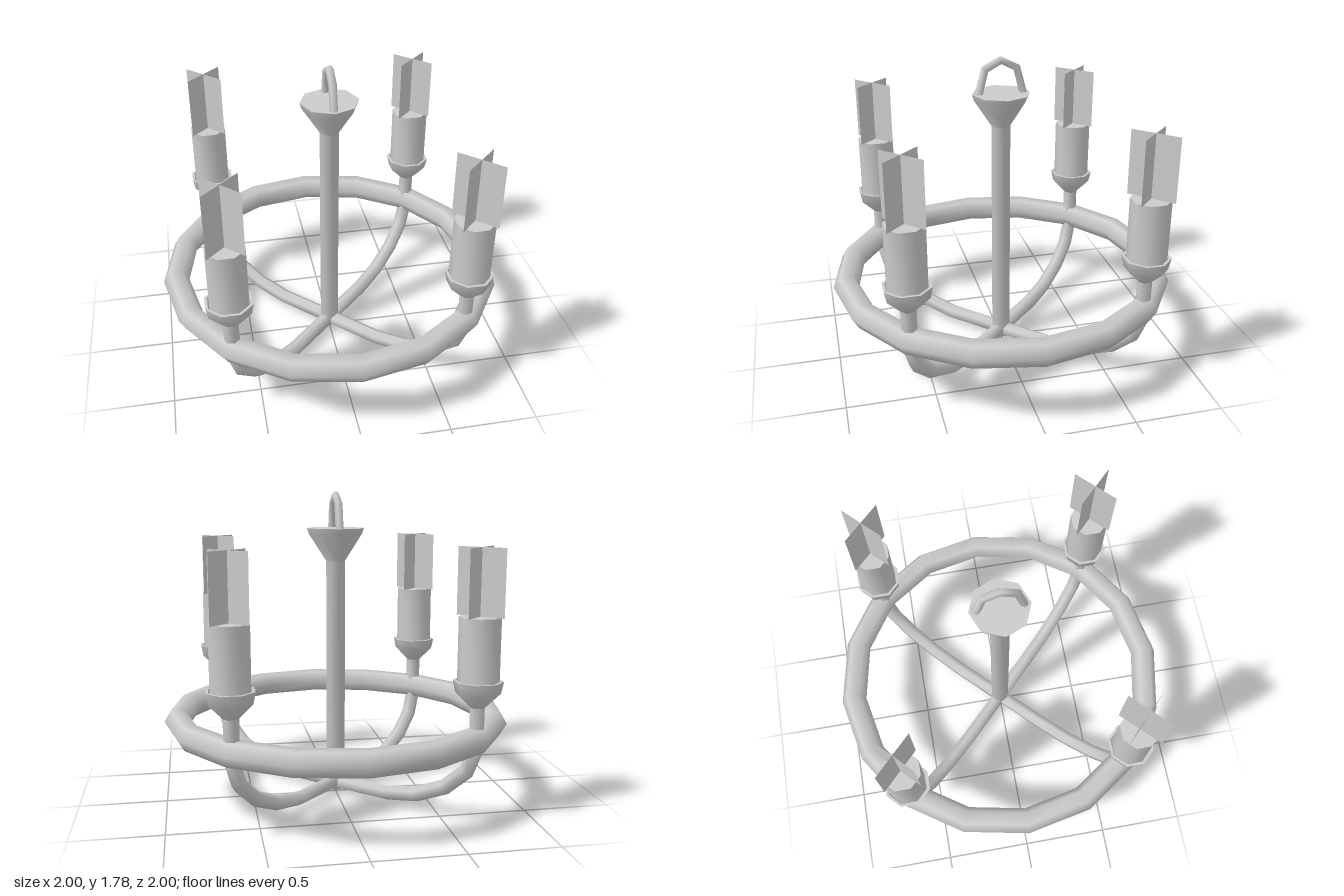
import * as THREE from 'three';
import { toCreasedNormals } from 'three/addons/utils/BufferGeometryUtils.js';

const grey = new THREE.MeshStandardMaterial({ color: 0xcccccc });
const greyDouble = new THREE.MeshStandardMaterial({ color: 0xcccccc, side: THREE.DoubleSide });

function addMesh(parent, name, geometry, material = grey) {
  const mesh = new THREE.Mesh(geometry, material);
  mesh.name = name;
  parent.add(mesh);
  return mesh;
}

// Octagonal turned part from [radius, height] pairs, listed bottom to top
function turned(profile, phase = 0) {
  const points = profile.map(([r, y]) => new THREE.Vector2(r, y));
  return toCreasedNormals(new THREE.LatheGeometry(points, 8, phase), 0.9);
}

// Hexagonal tube swept along a path in the XY plane, one section per point
function sweep(path, radius, phase = 0) {
  const sides = 6;
  const positions = [];
  const index = [];
  const pts = path.map(([x, y]) => new THREE.Vector2(x, y));
  pts.forEach((p, i) => {
    const before = p.clone().sub(pts[Math.max(i - 1, 0)]).normalize();
    const after = pts[Math.min(i + 1, pts.length - 1)].clone().sub(p).normalize();
    const t = before.add(after).normalize();
    for (let j = 0; j < sides; j++) {
      const a = phase + (j / sides) * Math.PI * 2;
      const c = Math.cos(a) * radius;
      positions.push(p.x - t.y * c, p.y + t.x * c, Math.sin(a) * radius);
      if (i === pts.length - 1) continue;
      const k = i * sides + j;
      const n = i * sides + ((j + 1) % sides);
      index.push(k, n, k + sides, n, n + sides, k + sides);
    }
  });
  const geometry = new THREE.BufferGeometry();
  geometry.setAttribute('position', new THREE.Float32BufferAttribute(positions, 3));
  geometry.setIndex(index);
  geometry.computeVertexNormals();
  return geometry;
}

export function createModel() {
  const model = new THREE.Group();
  model.name = 'chandelier';

  // Central rod flaring into the ceiling cap
  addMesh(model, 'centralRod', turned([
    [0, 0], [0.045, 0.025], [0.055, 0.06], [0.055, 1.39], [0.155, 1.545], [0.165, 1.577], [0, 1.577],
  ]));

  // Hanging loop on top
  const loop = addMesh(model, 'hangingLoop', sweep([
    [-0.13, 1.56], [-0.09, 1.715], [0, 1.762], [0.09, 1.715], [0.13, 1.56],
  ], 0.023, Math.PI / 6), greyDouble);
  loop.rotation.y = Math.PI / 2;

  // Outer ring
  const ring = addMesh(model, 'ring', new THREE.TorusGeometry(0.925, 0.075, 6, 16));
  ring.rotation.x = Math.PI / 2;
  ring.position.y = 0.48;

  // Four curved arms, each carrying a cup, a candle and a flame
  const reach = 0.917;
  const armGeometry = sweep([
    [0, 0.065], [0.36, 0.065], [0.555, 0.098], [0.735, 0.178],
    [0.865, 0.295], [reach, 0.43], [reach, 0.7],
  ], 0.043);
  const eighth = Math.PI / 8;
  const cupGeometry = turned([
    [0.04, 0.66], [0.12, 0.74], [0.134, 0.805], [0.118, 0.805], [0.108, 0.775],
  ], eighth);
  const candleGeometry = turned([[0.111, 0.76], [0.111, 1.145], [0, 1.145]], eighth);
  const flameGeometry = new THREE.PlaneGeometry(0.272, 0.36);

  for (let i = 0; i < 4; i++) {
    const branch = new THREE.Group();
    branch.name = 'branch' + (i + 1);
    branch.rotation.y = Math.PI / 4 + (i * Math.PI) / 2;
    model.add(branch);
    addMesh(branch, 'arm', armGeometry);

    const light = new THREE.Group();
    light.name = 'candleLight';
    light.position.x = reach;
    branch.add(light);
    addMesh(light, 'cup', cupGeometry, greyDouble);
    addMesh(light, 'candle', candleGeometry);

    // Flame made of two crossed sheets
    for (const turn of [0, Math.PI / 2]) {
      const flame = addMesh(light, 'flame', flameGeometry, greyDouble);
      flame.position.y = 1.325;
      flame.rotation.y = turn;
    }
  }
  return model;
}
